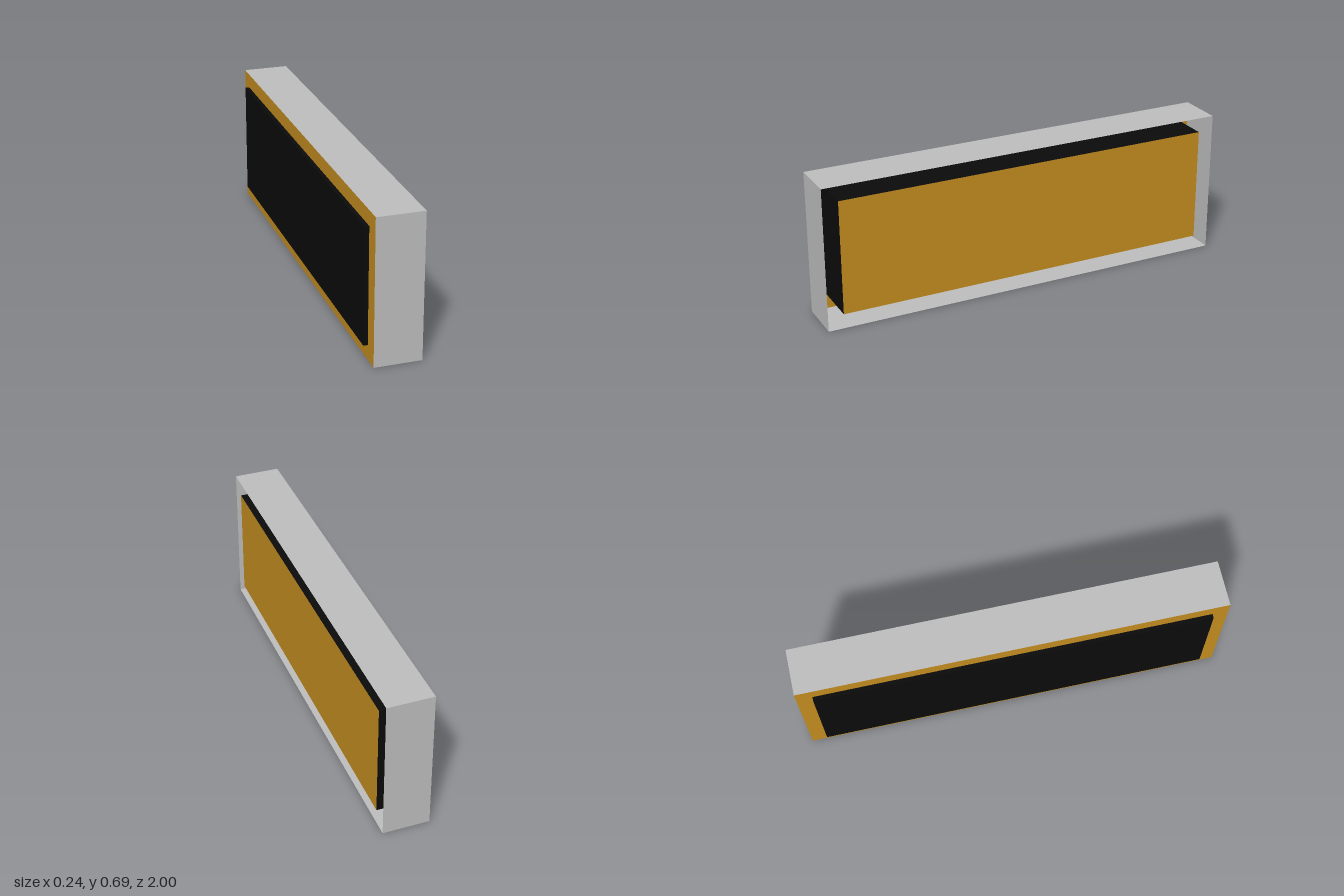
import * as THREE from 'three';

const HEIGHT = 0.69, LENGTH = 2;
const BACK_X = -0.1, FRONT_X = 0.12;

function material(name, color, side = THREE.FrontSide) {
  const m = new THREE.MeshStandardMaterial({ color, side });
  m.name = name;
  return m;
}

export function createModel() {
  const grey = material('lightGrey', 0xc0c0c0, THREE.DoubleSide);
  const gold = material('gold', 0xc89020, THREE.DoubleSide);
  const black = material('black', 0x0b0b0b);

  const group = new THREE.Group();
  group.name = 'signBox';
  const add = (name, geometry, mat, x) => {
    const mesh = new THREE.Mesh(geometry, mat);
    mesh.name = name;
    mesh.position.set(x, HEIGHT / 2, 0);
    group.add(mesh);
  };

  // Thin-walled frame: a box without its two x faces
  const frame = new THREE.BoxGeometry(FRONT_X - BACK_X, HEIGHT, LENGTH);
  frame.setIndex(Array.from(frame.index.array).slice(12));
  frame.clearGroups();
  add('frame', frame, grey, (FRONT_X + BACK_X) / 2);

  // Panel closing the frame on the -x side
  const panel = new THREE.PlaneGeometry(LENGTH, HEIGHT).rotateY(-Math.PI / 2);
  add('backPanel', panel, gold, BACK_X);

  // Inner block through the panel, with a gold face in the opening
  const block = new THREE.BoxGeometry(0.24, 0.55, 1.85);
  add('innerBlock', block, [gold, black, black, black, black, black], 0);

  return group;
}
